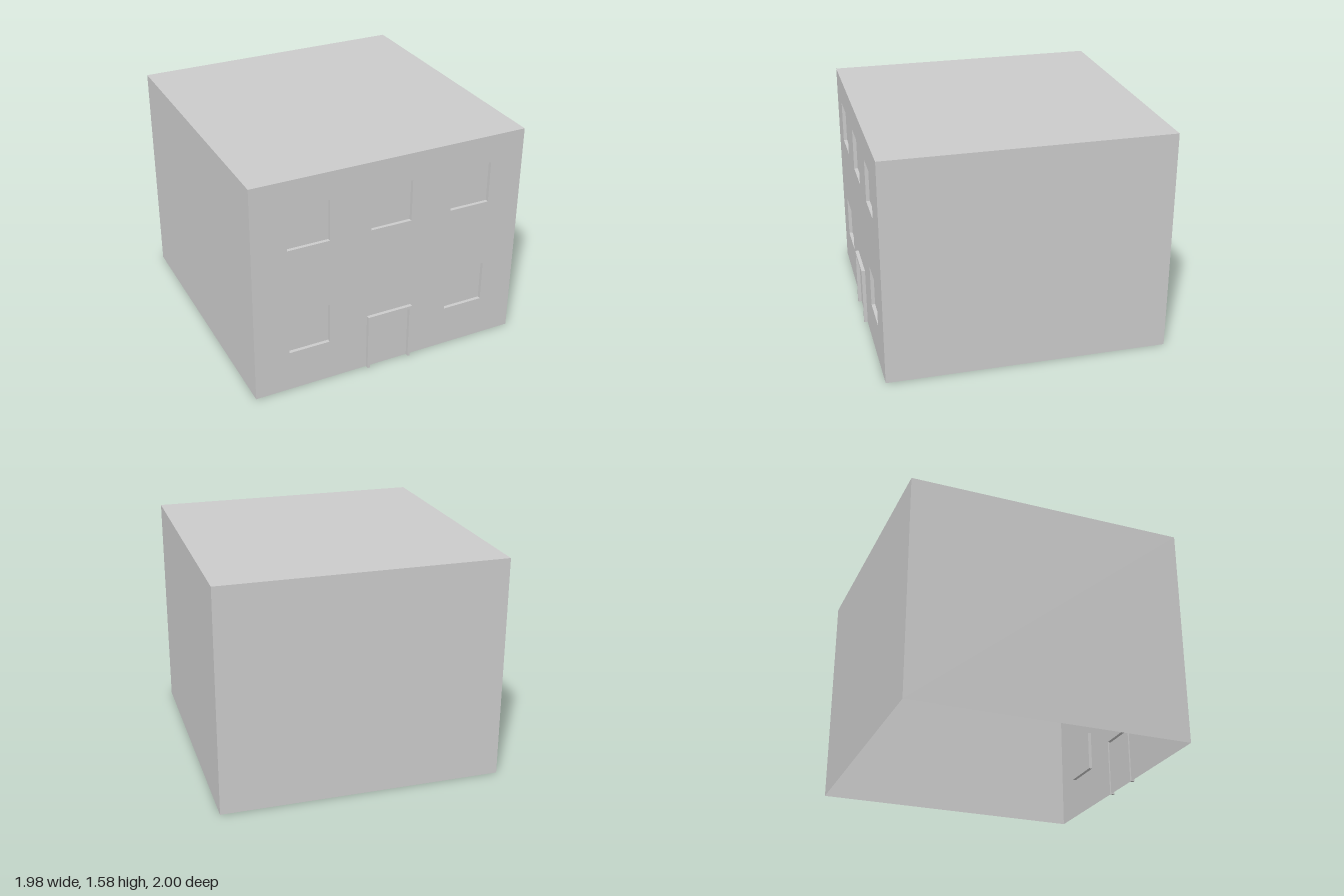
import * as THREE from 'three';

const W = 0.9875, H = 1.58;                 // half width, height
const BACK = -1, WALL = 0.975, FRONT = 1;   // z of back wall, front wall, door frame face
const RECESS = WALL - 0.025;                // z of the window panes

const material = new THREE.MeshStandardMaterial({
  color: 0xcccccc, side: THREE.DoubleSide, flatShading: true,
});

const v = (x, y) => new THREE.Vector2(x, y);

// Counter-clockwise rectangle
const rect = (x0, x1, y0, y1) => [v(x0, y0), v(x1, y0), v(x1, y1), v(x0, y1)];

// Flat sheet with the given outline, facing +z
function sheet(points, z, holes = []) {
  const shape = new THREE.Shape(points);
  shape.holes = holes.map((h) => new THREE.Path(h));
  return new THREE.ShapeGeometry(shape).translate(0, 0, z);
}

// Band of quads that runs along a closed outline from z0 to z1
function rim(points, z0, z1) {
  const pos = [];
  points.forEach((a, i) => {
    const b = points[(i + 1) % points.length];
    pos.push(a.x, a.y, z0, b.x, b.y, z0, b.x, b.y, z1);
    pos.push(a.x, a.y, z0, b.x, b.y, z1, a.x, a.y, z1);
  });
  const g = new THREE.BufferGeometry();
  g.setAttribute('position', new THREE.Float32BufferAttribute(pos, 3));
  g.computeVertexNormals();
  return g;
}

export function createModel() {
  const model = new THREE.Group();
  model.name = 'building';
  const add = (name, geometry, parent = model) => {
    const mesh = new THREE.Mesh(geometry, material);
    mesh.name = name;
    parent.add(mesh);
    return mesh;
  };

  // Windows: three upstairs, two beside the door
  const windows = [[-0.593, 1.086], [0, 1.086], [0.593, 1.086], [-0.593, 0.298], [0.593, 0.298]]
    .map(([x, y]) => rect(x - 0.148, x + 0.148, y, y + 0.297));
  for (const outline of windows) {
    const group = new THREE.Group();
    group.name = 'window';
    model.add(group);
    add('windowPane', sheet(outline, RECESS), group);
    add('windowReveal', rim(outline, WALL, RECESS), group);
  }

  // Door frame: hollow arch of flat strips standing proud of the wall
  const di = 0.149, hi = 0.398, dO = 0.167, ho = 0.42;
  const arch = [
    v(-dO, 0), v(-di, 0), v(-di, hi), v(di, hi),
    v(di, 0), v(dO, 0), v(dO, ho), v(-dO, ho),
  ];
  const entrance = new THREE.Group();
  entrance.name = 'entrance';
  model.add(entrance);
  add('doorFrameFace', sheet(arch, FRONT), entrance);
  add('doorFrameSides', rim(arch, WALL, FRONT), entrance);
  add('door', sheet(rect(-di, di, 0, hi), WALL), entrance);

  // Front wall with window openings and a notch for the entrance
  add('frontWall', sheet([
    v(-W, 0), v(-dO, 0), v(-dO, ho), v(dO, ho), v(dO, 0), v(W, 0), v(W, H), v(-W, H),
  ], WALL, windows));

  // Remaining shell, open underneath
  const depth = WALL - BACK, midZ = (WALL + BACK) / 2;
  for (const s of [-1, 1]) {
    add(s > 0 ? 'leftWall' : 'rightWall',
      new THREE.PlaneGeometry(depth, H).rotateY(s * Math.PI / 2).translate(s * W, H / 2, midZ));
  }
  add('backWall', new THREE.PlaneGeometry(2 * W, H).rotateY(Math.PI).translate(0, H / 2, BACK));
  add('roof', new THREE.PlaneGeometry(2 * W, depth).rotateX(-Math.PI / 2).translate(0, H, midZ));

  return model;
}
